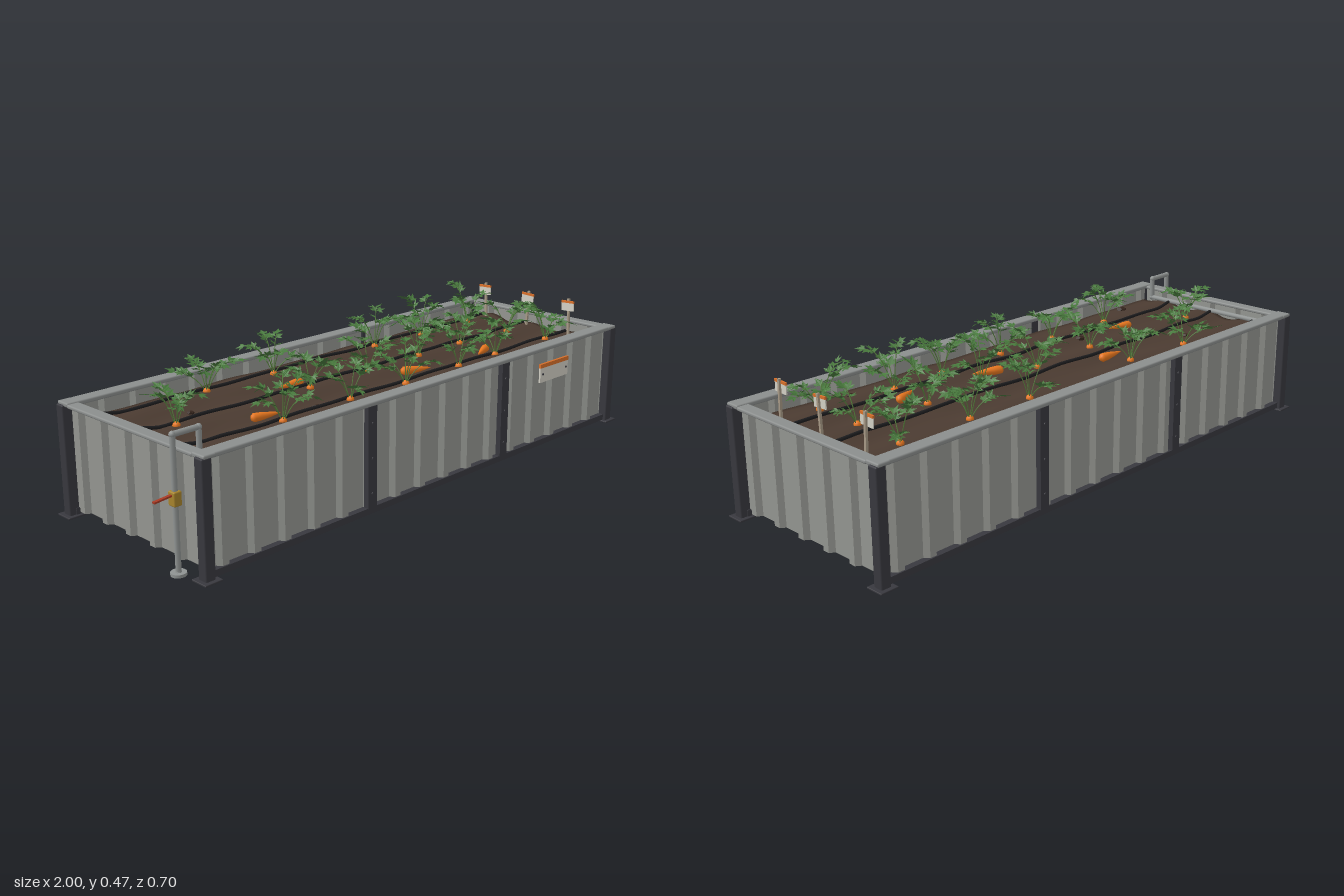
import * as THREE from 'three';
import { mergeGeometries } from 'three/addons/utils/BufferGeometryUtils.js';
import { RoundedBoxGeometry } from 'three/addons/geometries/RoundedBoxGeometry.js';

const V = (x, y, z) => new THREE.Vector3(x, y, z);
const mat = (color, extra = {}) => new THREE.MeshStandardMaterial({ color, ...extra });
const M = {
  sheet: mat(0x949691), rim: mat(0x8b8e8d), dark: mat(0x38383e),
  soil: mat(0x4b3b31, { side: THREE.DoubleSide }),
  clod: mat(0x35251d, { flatShading: true }), hose: mat(0x1d1d1f), pipe: mat(0x8f9392),
  brass: mat(0xa8842c), red: mat(0xa83a24), carrot: mat(0xe8771f), stem: mat(0x557f3c),
  leaf: mat(0x47783c, { side: THREE.DoubleSide, flatShading: true }),
  wood: mat(0xa89a86), white: mat(0xd4d1c6), orange: mat(0xd9702a),
};
const CX = 0.035; // centre of the bed along x

function seeded(s) {
  return () => {
    s = (s * 1664525 + 1013904223) % 4294967296;
    return s / 4294967296;
  };
}

function createModel() {
  const model = new THREE.Group();
  const rand = seeded(7);
  const range = (a, b) => a + (b - a) * rand();

  const add = (name, geo, material, x = 0, y = 0, z = 0, parent = model) => {
    const m = new THREE.Mesh(geo, material);
    m.name = name;
    m.position.set(x, y, z);
    parent.add(m);
    return m;
  };
  const box = (name, w, h, d, material, x, y, z, parent) =>
    add(name, new THREE.BoxGeometry(w, h, d), material, x, y, z, parent);
  const rbox = (name, w, h, d, r, material, x, y, z) =>
    add(name, new RoundedBoxGeometry(w, h, d, 2, r), material, x, y, z);

  // Corrugated sheet: flat pans with narrow raised ribs, outside facing +z
  function corrugated(length) {
    const period = 0.1133, deep = 0.016, t = 0.003, end = length / 2, line = [[-end, 0]];
    for (let c = -end + 0.046; c - 0.023 < end; c += period)
      line.push([c - 0.023, 0], [c - 0.0115, -deep], [c + 0.0115, -deep], [c + 0.023, 0]);
    const kept = line.filter(([x]) => x < end - 0.001);
    kept.push([end, kept[kept.length - 1][1]]);
    const pts = [...kept, ...kept.map(([x, y]) => [x, y + t]).reverse()];
    const shape = new THREE.Shape(pts.map(([x, y]) => new THREE.Vector2(x, y)));
    const g = new THREE.ExtrudeGeometry(shape, { depth: 0.324, bevelEnabled: false });
    return g.rotateX(-Math.PI / 2);
  }
  const longSheet = corrugated(1.83), endSheet = corrugated(0.612);
  for (const s of [1, -1]) {
    add('longWall', longSheet, M.sheet, CX, 0.033, s * 0.304).rotation.y = s > 0 ? 0 : Math.PI;
    add('endWall', endSheet, M.sheet, CX + s * 0.918, 0.033, 0).rotation.y = s * Math.PI / 2;

    // Capping rails, bottom rail and middle posts
    rbox('longRim', 1.89, 0.014, 0.05, 0.005, M.rim, CX, 0.362, s * 0.31);
    rbox('endRim', 0.042, 0.012, 0.575, 0.005, M.rim, CX + s * 0.925, 0.36, 0);
    box('bottomRail', 1.86, 0.02, 0.026, M.dark, CX, 0.025, s * 0.312);
    for (const x of [-0.273, 0.357]) {
      box('middlePost', 0.036, 0.322, 0.018, M.dark, x, 0.194, s * 0.318);
      for (const y of [0.08, 0.19, 0.3])
        add('bolt', new THREE.CylinderGeometry(0.005, 0.005, 0.004, 8).rotateX(Math.PI / 2),
          M.dark, x, y, s * 0.328);
    }

    // Corner posts with foot plates and rim caps
    for (const e of [1, -1]) {
      const x = CX + e * 0.934, z = s * 0.319;
      rbox('cornerPost', 0.034, 0.358, 0.034, 0.005, M.dark, x, 0.182, z);
      rbox('footPlate', 0.06, 0.006, 0.06, 0.002, M.dark, x, 0.012, z);
      rbox('cornerCap', 0.044, 0.012, 0.05, 0.005, M.rim, CX + e * 0.923, 0.363, s * 0.312);
    }
  }

  // Soil with three gentle ridges; the outer ring of points folds down as a skirt
  const soilY = (x, z) => 0.316 + 0.009 * Math.cos((z / 0.19) * Math.PI * 2)
    + 0.003 * Math.sin(x * 17 + z * 9) * Math.sin(z * 31 - x * 5);
  const soil = new THREE.PlaneGeometry(1.87, 0.63, 86, 42).rotateX(-Math.PI / 2);
  const sp = soil.attributes.position;
  for (let i = 0; i < sp.count; i++) {
    const x0 = sp.getX(i), z0 = sp.getZ(i);
    const skirt = Math.abs(x0) > 0.934 || Math.abs(z0) > 0.314;
    const x = CX + THREE.MathUtils.clamp(x0, -0.915, 0.915);
    const z = THREE.MathUtils.clamp(z0, -0.302, 0.302);
    sp.setXYZ(i, x, skirt ? 0.2 : soilY(x, z), z);
  }
  soil.computeVertexNormals();
  add('soil', soil, M.soil);
  for (const [x, z, r] of [[-0.69, 0.26, 0.02], [-0.31, 0.13, 0.016], [0.9, -0.08, 0.014],
    [0.62, 0.23, 0.012], [-0.6, -0.11, 0.012], [0.12, -0.12, 0.012]])
    add('clod', new THREE.DodecahedronGeometry(r), M.clod, x, soilY(x, z) + 0.002, z).scale.y = 0.6;

  // Irrigation: riser over the rim, manifold and three drip hoses
  const pipe = (name, pts, r, material) => {
    for (let i = 1; i < pts.length; i++)
      add(name, new THREE.TubeGeometry(new THREE.LineCurve3(pts[i - 1], pts[i]), 1, r, 10), material);
    for (const p of pts) add(name + 'Joint', new THREE.SphereGeometry(r * 1.15, 10, 8), material, p.x, p.y, p.z);
  };
  const px = -0.93, pz = 0.236, mx = -0.843;
  pipe('supplyPipe', [V(px, 0.018, pz), V(px, 0.409, pz), V(mx, 0.409, pz), V(mx, 0.337, pz),
    V(mx, 0.337, -0.25)], 0.0085, M.pipe);
  add('pipeFoot', new THREE.CylinderGeometry(0.023, 0.023, 0.009, 16), M.pipe, px, 0.015, pz);
  rbox('valveBody', 0.026, 0.042, 0.028, 0.004, M.brass, px, 0.232, pz);
  box('valveHandle', 0.065, 0.005, 0.01, M.red, -0.9675, 0.241, pz).rotation.z = 0.08;
  for (const z of [-0.23, -0.04, 0.15]) {
    const pts = [];
    for (let i = 0; i <= 24; i++) {
      const x = mx + (i / 24) * 1.78, zz = z + 0.003 * Math.sin(i * 1.3 + z * 20);
      pts.push(V(x, soilY(x, zz) + 0.005, zz));
    }
    pts[0].y = 0.337;
    add('dripHose', new THREE.TubeGeometry(new THREE.CatmullRomCurve3(pts), 72, 0.0055, 7), M.hose);
  }

  // One pinna: a fan of three pointed, folded leaflets along +z
  const leaflet = (len, w) => {
    const g = new THREE.BufferGeometry();
    g.setAttribute('position', new THREE.Float32BufferAttribute(
      [0, 0, 0, -w, 0.3 * w, len * 0.45, 0, 0, len, 0, 0, 0, 0, 0, len, w, 0.3 * w, len * 0.45], 3));
    g.computeVertexNormals();
    return g;
  };
  const pinna = mergeGeometries([
    leaflet(0.038, 0.0075),
    ...[-1, 1].map((s) => leaflet(0.024, 0.006).rotateY(s * 0.8).translate(0, 0, 0.007)),
  ]);

  // Feathery carrot top: arching stalks of uneven height with pairs of pinnae
  function carrotPlant(x, z) {
    const plant = new THREE.Group();
    plant.name = 'carrotPlant';
    plant.position.set(x, soilY(x, z), z);
    const stems = [], leaves = [], dummy = new THREE.Object3D();
    const count = 5 + Math.floor(rand() * 2), start = range(0, 6);
    for (let i = 0; i < count; i++) {
      const a = start + (i / count) * Math.PI * 2 + range(-0.4, 0.4);
      const rise = range(0.055, 0.135), reach = range(0.065, 0.1);
      const at = (r, y) => V(Math.cos(a) * r, y, Math.sin(a) * r);
      const curve = new THREE.QuadraticBezierCurve3(at(0.004, 0.004), at(reach * 0.45, rise * 1.05), at(reach, rise));
      stems.push(new THREE.TubeGeometry(curve, 7, 0.0018, 4));
      const side = V(-Math.sin(a), 0, Math.cos(a));
      const place = (t, yaw, size) => {
        const p = curve.getPoint(t);
        const dir = curve.getTangent(t).multiplyScalar(Math.cos(yaw)).addScaledVector(side, Math.sin(yaw));
        dir.y += range(-0.45, 0.45);
        dummy.position.copy(p);
        dummy.lookAt(p.add(dir));
        dummy.rotateZ(range(-0.6, 0.6));
        dummy.scale.setScalar(size);
        dummy.updateMatrix();
        leaves.push(pinna.clone().applyMatrix4(dummy.matrix));
      };
      for (let k = 0; k < 3; k++)
        for (const s of [-1, 1]) place(0.48 + k * 0.18 + range(-0.05, 0.05), s * range(0.6, 1.15), range(0.75, 1.1));
      place(0.98, range(-0.3, 0.3), 1.05);
    }
    add('stalks', mergeGeometries(stems), M.stem, 0, 0, 0, plant);
    add('leaves', mergeGeometries(leaves), M.leaf, 0, 0, 0, plant);
    add('carrotCrown', new THREE.SphereGeometry(0.012, 10, 8), M.carrot, 0, 0.001, 0, plant);
    model.add(plant);
  }
  const rows = [
    [-0.195, [-0.465, -0.2, 0.28, 0.52, 0.78]],
    [0, [-0.73, -0.22, 0.05, 0.29, 0.52, 0.77]],
    [0.178, [-0.49, -0.21, 0.03, 0.3, 0.5, 0.77]],
  ];
  for (const [z, xs] of rows) for (const x of xs) carrotPlant(x, z + range(-0.01, 0.01));

  // Harvested carrots lying on the soil
  const carrotShape = new THREE.LatheGeometry([[0, 0.05], [0.009, 0.048], [0.0145, 0.04], [0.013, 0.015],
    [0.008, -0.02], [0.003, -0.045], [0, -0.055]].reverse().map(([r, y]) => new THREE.Vector2(r, y)), 12)
    .rotateZ(Math.PI / 2);
  for (const [x, z, turn, size] of [[-0.22, -0.083, Math.PI, 1], [-0.49, 0.1, -0.2, 0.95],
    [0.18, 0.088, -0.35, 1.05], [0.51, 0.105, 0.4 + Math.PI, 0.95]]) {
    const c = add('looseCarrot', carrotShape, M.carrot, x, soilY(x, z) + 0.015, z);
    c.rotation.y = turn;
    c.scale.setScalar(size);
  }

  // Row markers at the right end
  for (const z of [0.19, 0, -0.19]) {
    const marker = new THREE.Group();
    marker.name = 'rowMarker';
    marker.position.set(0.895, 0.31, z);
    marker.rotation.x = z === 0 ? 0.05 : -0.04;
    box('markerStake', 0.008, 0.145, 0.008, M.wood, 0.005, 0.0725, 0, marker);
    box('markerPlate', 0.004, 0.034, 0.052, M.white, 0, 0.118, 0, marker);
    box('markerBand', 0.006, 0.008, 0.053, M.orange, 0, 0.134, 0, marker);
    model.add(marker);
  }

  // Blank sign plate on the front wall
  box('signPlate', 0.158, 0.064, 0.006, M.white, 0.627, 0.275, 0.324);
  box('signBand', 0.159, 0.014, 0.008, M.orange, 0.627, 0.301, 0.324);
  for (const s of [-1, 1])
    add('signScrew', new THREE.CylinderGeometry(0.004, 0.004, 0.004, 8).rotateX(Math.PI / 2),
      M.dark, 0.627 + s * 0.066, 0.272, 0.328);

  return model;
}

export { createModel };
